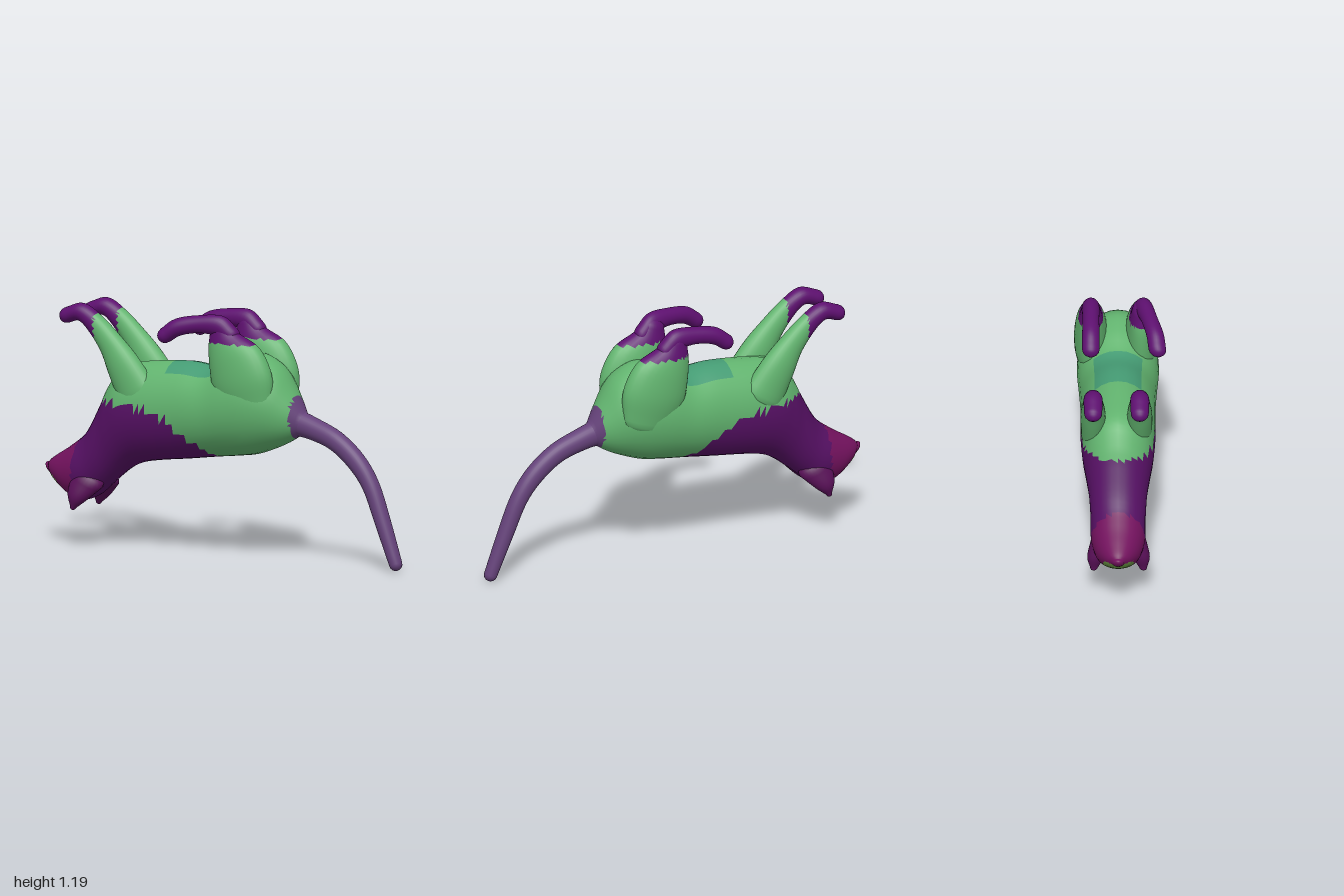
import * as THREE from 'three';

const COLORS = {
  coat: 0x62b46f, bellyPatch: 0x459c74, saddle: 0x561064, face: 0x74125f,
  brow: 0x6f9c48, tail: 0x65427a, sock: 0x5e1070, ear: 0x591058,
};
const SIDES = 28;
const V = (x, y, z) => new THREE.Vector3(x, y, z);

// Smooth skin through sections { c: centre, u: half axis in the xy plane, w: half width in z }, with rounded ends
function loft(sections, stepsPer = 5) {
  const spline = (f) => new THREE.CatmullRomCurve3(sections.map(f), false, 'catmullrom', 0.5);
  const C = spline((s) => s.c), U = spline((s) => s.u), W = spline((s) => V(s.w, 0, 0));
  const n = (sections.length - 1) * stepsPer;
  const rings = [];
  for (let i = 0; i <= n; i++) {
    rings.push({ c: C.getPoint(i / n), u: U.getPoint(i / n), w: W.getPoint(i / n).x });
  }
  const cap = (end, before) => {
    const axis = end.c.clone().sub(before.c).normalize();
    const len = Math.min(end.u.length(), end.w);
    return [0.25, 0.5, 0.75, 1].map((k) => {
      const a = k * Math.PI / 2, s = Math.max(Math.cos(a), 0);
      return { c: end.c.clone().addScaledVector(axis, len * Math.sin(a)), u: end.u.clone().multiplyScalar(s), w: end.w * s };
    });
  };
  const all = [...cap(rings[0], rings[1]).reverse(), ...rings, ...cap(rings[n], rings[n - 1])];

  const pos = [], idx = [];
  all.forEach(({ c, u, w }, i) => {
    for (let j = 0; j < SIDES; j++) {
      const a = (j / SIDES) * Math.PI * 2;
      pos.push(c.x + u.x * Math.cos(a), c.y + u.y * Math.cos(a), c.z + w * Math.sin(a));
      if (i === all.length - 1) continue;
      const k = (j + 1) % SIDES;
      const p = i * SIDES + j, q = i * SIDES + k;
      idx.push(p, q, p + SIDES, q, q + SIDES, p + SIDES);
    }
  });
  const geo = new THREE.BufferGeometry();
  geo.setAttribute('position', new THREE.Float32BufferAttribute(pos, 3));
  geo.setIndex(idx);
  geo.computeVertexNormals();
  return geo;
}

// Round limb through points [x, y, z, radius in the xy plane, half width in z]
function limb(points) {
  const sections = points.map(([x, y, z, r, w = r], i) => {
    const a = points[Math.max(i - 1, 0)], b = points[Math.min(i + 1, points.length - 1)];
    const t = V(b[0] - a[0], b[1] - a[1], 0).normalize();
    return { c: V(x, y, z), u: V(-t.y, t.x, 0).multiplyScalar(r), w };
  });
  return loft(sections);
}

// One mesh per colour zone; zoneAt picks the zone of each triangle by its centre
function paint(name, geo, zoneAt) {
  const flat = geo.toNonIndexed();
  const P = flat.attributes.position.array, N = flat.attributes.normal.array;
  const zones = {};
  for (let i = 0; i < P.length; i += 9) {
    const mid = (k) => (P[i + k] + P[i + k + 3] + P[i + k + 6]) / 3;
    const zone = zoneAt(mid(0), mid(1), mid(2));
    const z = (zones[zone] ??= { p: [], n: [] });
    for (let k = 0; k < 9; k++) {
      z.p.push(P[i + k]);
      z.n.push(N[i + k]);
    }
  }
  const group = new THREE.Group();
  group.name = name;
  for (const [zone, { p, n }] of Object.entries(zones)) {
    const g = new THREE.BufferGeometry();
    g.setAttribute('position', new THREE.Float32BufferAttribute(p, 3));
    g.setAttribute('normal', new THREE.Float32BufferAttribute(n, 3));
    const mesh = new THREE.Mesh(g, new THREE.MeshStandardMaterial({ color: COLORS[zone] }));
    mesh.name = `${name}_${zone}`;
    group.add(mesh);
  }
  return group;
}

// Colour zones of the torso and head
function bodyZone(x, y) {
  if (x < -0.86 && x + y < -0.605 && y < 0.345) return 'brow';
  if (x < -0.8) return 'face';
  if (x > 0.4) return 'tail';
  const edge = x < -0.3 ? 0.7 - (x + 0.3) * 0.08 : 0.7 - (x + 0.3) * 0.72;
  if (y < edge && x < 0.05) return 'saddle';
  if (x > -0.27 && x < -0.03 && y > 0.88) return 'bellyPatch';
  return 'coat';
}

export function createModel() {
  const model = new THREE.Group();
  model.name = 'cat';

  // Torso, neck and head: belly x, y; back x, y; half width
  const trunk = [
    [0.445, 0.73, 0.425, 0.62, 0.05],
    [0.385, 0.83, 0.35, 0.575, 0.11],
    [0.31, 0.94, 0.27, 0.54, 0.16],
    [0.2, 1.0, 0.18, 0.51, 0.19],
    [0.08, 0.98, 0.08, 0.495, 0.197],
    [-0.05, 0.925, -0.05, 0.48, 0.187],
    [-0.2, 0.935, -0.2, 0.46, 0.18],
    [-0.4, 0.92, -0.37, 0.44, 0.18],
    [-0.55, 0.89, -0.47, 0.42, 0.172],
    [-0.63, 0.8, -0.54, 0.385, 0.155],
    [-0.68, 0.7, -0.6, 0.34, 0.14],
    [-0.76, 0.56, -0.66, 0.29, 0.132],
    [-0.85, 0.485, -0.73, 0.235, 0.13],
    [-0.93, 0.435, -0.82, 0.22, 0.105],
    [-0.975, 0.405, -0.92, 0.28, 0.065],
    [-0.993, 0.385, -0.968, 0.325, 0.03],
  ].map(([ax, ay, bx, by, w]) => ({
    c: V((ax + bx) / 2, (ay + by) / 2, -0.014),
    u: V((bx - ax) / 2, (by - ay) / 2, 0),
    w,
  }));
  model.add(paint('body', loft(trunk), bodyZone));

  // Tail
  model.add(paint('tail', limb([
    [0.39, 0.68, -0.015, 0.065, 0.055],
    [0.49, 0.655, -0.015, 0.055, 0.05],
    [0.62, 0.605, -0.012, 0.05, 0.046],
    [0.735, 0.515, -0.01, 0.048, 0.044],
    [0.82, 0.4, -0.008, 0.043, 0.042],
    [0.89, 0.23, -0.003, 0.039, 0.04],
    [0.965, 0.035, 0.003, 0.032, 0.033],
  ]), () => 'tail'));

  for (const [side, s] of [['left', 1], ['right', -1]]) {
    // Ear
    const earZ = (d) => -0.012 + s * d;
    model.add(paint(`${side}Ear`, limb([
      [-0.73, 0.33, earZ(0.075), 0.085, 0.055],
      [-0.77, 0.25, earZ(0.108), 0.052, 0.042],
      [-0.787, 0.195, earZ(0.118), 0.014, 0.018],
    ]), () => 'ear'));

    // Front leg and paw
    const frontZ = -0.022 + s * 0.112;
    model.add(paint(`${side}FrontLeg`, limb([
      [-0.43, 0.76, frontZ, 0.11, 0.06],
      [-0.515, 0.9, frontZ, 0.088, 0.06],
      [-0.585, 1.0, frontZ, 0.064, 0.05],
      [-0.67, 1.09, frontZ, 0.05, 0.043],
      [-0.75, 1.143, frontZ, 0.044, 0.046],
      [-0.83, 1.122, frontZ, 0.038, 0.043],
    ]), (x) => (x < -0.66 ? 'sock' : 'coat')));

    // Thigh
    const hindZ = -0.022 + s * 0.122;
    model.add(paint(`${side}Thigh`, limb([
      [0.2, 0.74, hindZ, 0.13, 0.06],
      [0.165, 0.86, hindZ, 0.165, 0.08],
      [0.12, 0.97, hindZ, 0.15, 0.076],
      [0.06, 1.06, hindZ, 0.092, 0.058],
      [0.045, 1.12, hindZ, 0.06, 0.046],
    ]), (x, y) => (y > 1.055 ? 'sock' : 'coat')));

    // Hind foot, the left one turned a little outward
    const splay = s > 0 ? 0.075 : 0;
    const footZ = (k) => hindZ + splay * k;
    model.add(paint(`${side}HindFoot`, limb([
      [0.1, 1.09, footZ(0), 0.045, 0.042],
      [0.04, 1.135, footZ(0.15), 0.052, 0.043],
      [-0.06, 1.14, footZ(0.5), 0.043, 0.04],
      [-0.16, 1.122, footZ(0.85), 0.042, 0.042],
      [-0.225, 1.08, footZ(1), 0.038, 0.042],
    ]), () => 'sock'));
  }
  return model;
}
